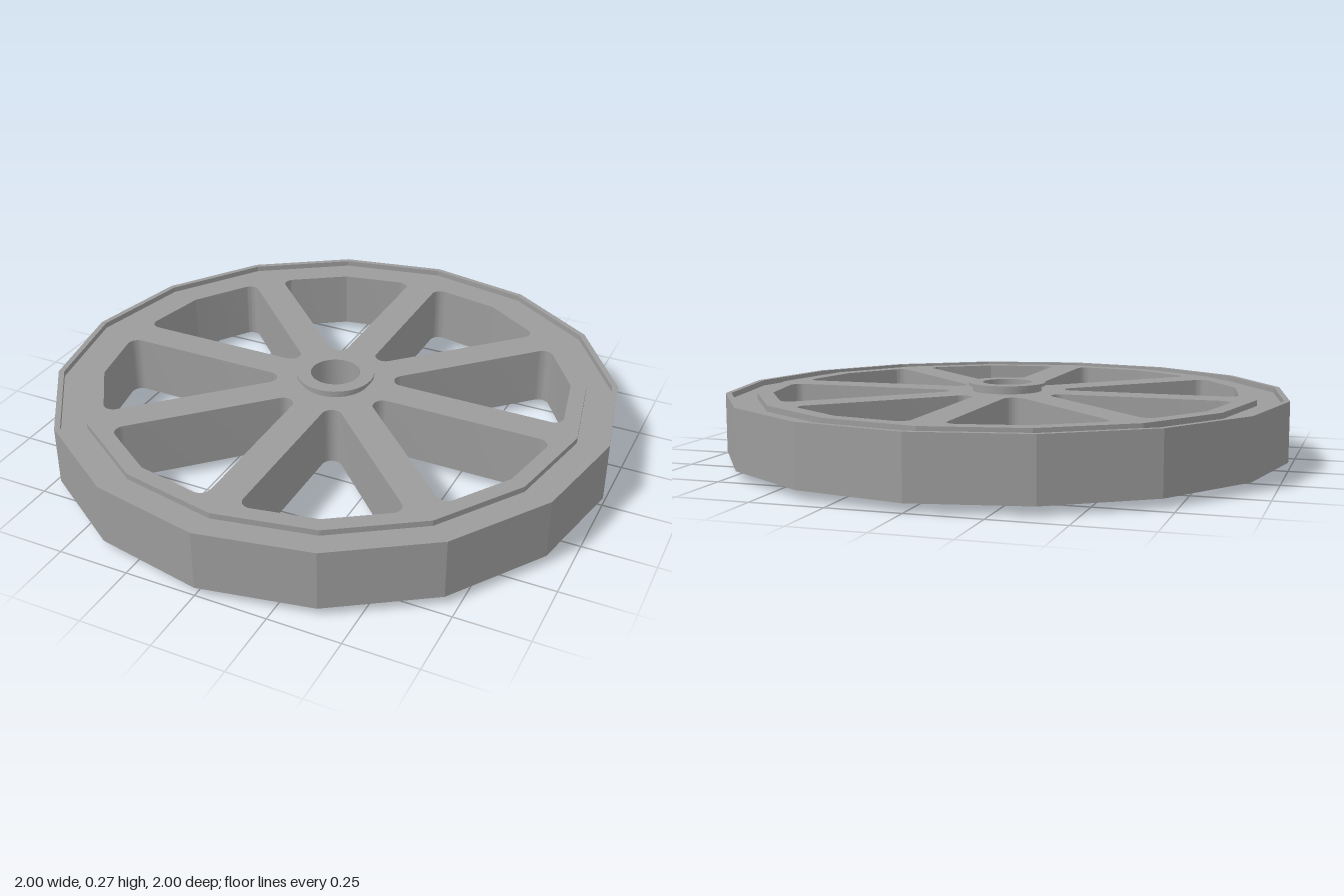
import * as THREE from 'three';
import { toCreasedNormals } from 'three/addons/utils/BufferGeometryUtils.js';

const SIDES = 16, SPOKES = 8;
const BOTTOM = 0.03, TOP = 0.24;
const SLOT_R = 0.834, HALF_SPOKE = 0.058, FILLET = 0.036;

const polar = (r, a) => new THREE.Vector2(r * Math.cos(a), r * Math.sin(a));

// Closed counter-clockwise path with each corner rounded by its own radius
function roundedPath(points, radii) {
  const path = new THREE.Path();
  const n = points.length;
  points.forEach((p, i) => {
    const dIn = p.clone().sub(points[(i + n - 1) % n]).normalize();
    const dOut = points[(i + 1) % n].clone().sub(p).normalize();
    const r = radii[i];
    if (r === 0) {
      path.lineTo(p.x, p.y);
      return;
    }
    const turn = Math.acos(dIn.dot(dOut));
    const inward = dOut.clone().sub(dIn).normalize();
    const c = p.clone().addScaledVector(inward, r / Math.cos(turn / 2));
    const a0 = dIn.angle() - Math.PI / 2;
    path.absarc(c.x, c.y, r, a0, a0 + turn, false);
  });
  path.closePath();
  return path;
}

// Opening between two neighbouring spokes
function slot(angle) {
  const mid = Math.PI / SPOKES;
  const x = SLOT_R - HALF_SPOKE * Math.tan(Math.PI / SIDES);
  const r = Math.hypot(x, HALF_SPOKE), a = Math.atan2(HALF_SPOKE, x);
  const points = [
    polar(HALF_SPOKE / Math.sin(mid), angle + mid),
    polar(r, angle + a),
    polar(SLOT_R, angle + mid),
    polar(r, angle + 2 * mid - a),
  ];
  return roundedPath(points, [FILLET, FILLET, 0, FILLET]);
}

function lathe(profile, segments) {
  return new THREE.LatheGeometry(profile.map(([r, y]) => new THREE.Vector2(r, y)), segments);
}

export function createModel() {
  const wheel = new THREE.Group();
  wheel.name = 'spokedWheel';
  const metal = new THREE.MeshStandardMaterial({ color: 0x9c9c9c });
  metal.name = 'grey metal';

  const add = (name, geometry, crease) => {
    const mesh = new THREE.Mesh(toCreasedNormals(geometry, crease), metal);
    mesh.name = name;
    wheel.add(mesh);
  };

  // Faceted rim with a thin lip and a shallow groove on both faces
  const groove = 0.02;
  add('rim', lathe([
    [0.88, BOTTOM + groove], [0.98, BOTTOM + groove], [0.98, BOTTOM], [1, BOTTOM],
    [1, TOP], [0.98, TOP], [0.98, TOP - groove], [0.88, TOP - groove],
  ], SIDES), 0.1);

  // Spoke plate: polygon disc with eight rounded slots and an axle hole
  const disc = new THREE.Shape();
  disc.setFromPoints(Array.from({ length: SIDES }, (_, i) => polar(0.89, i * 2 * Math.PI / SIDES)));
  for (let i = 0; i < SPOKES; i++) disc.holes.push(slot(i * 2 * Math.PI / SPOKES));
  disc.holes.push(new THREE.Path().absarc(0, 0, 0.1, 0, Math.PI * 2, true));
  const plate = new THREE.ExtrudeGeometry(disc, {
    depth: TOP - BOTTOM, bevelEnabled: false, curveSegments: 8,
  });
  plate.rotateX(-Math.PI / 2).translate(0, BOTTOM, 0);
  add('spokes', plate, 0.35);

  // Hub sleeve with a flange at each end
  add('hub', lathe([
    [0.088, 0], [0.138, 0], [0.138, 0.011], [0.124, 0.011], [0.124, 0.259],
    [0.138, 0.259], [0.138, 0.27], [0.088, 0.27], [0.088, 0],
  ], 32), 0.5);

  return wheel;
}
